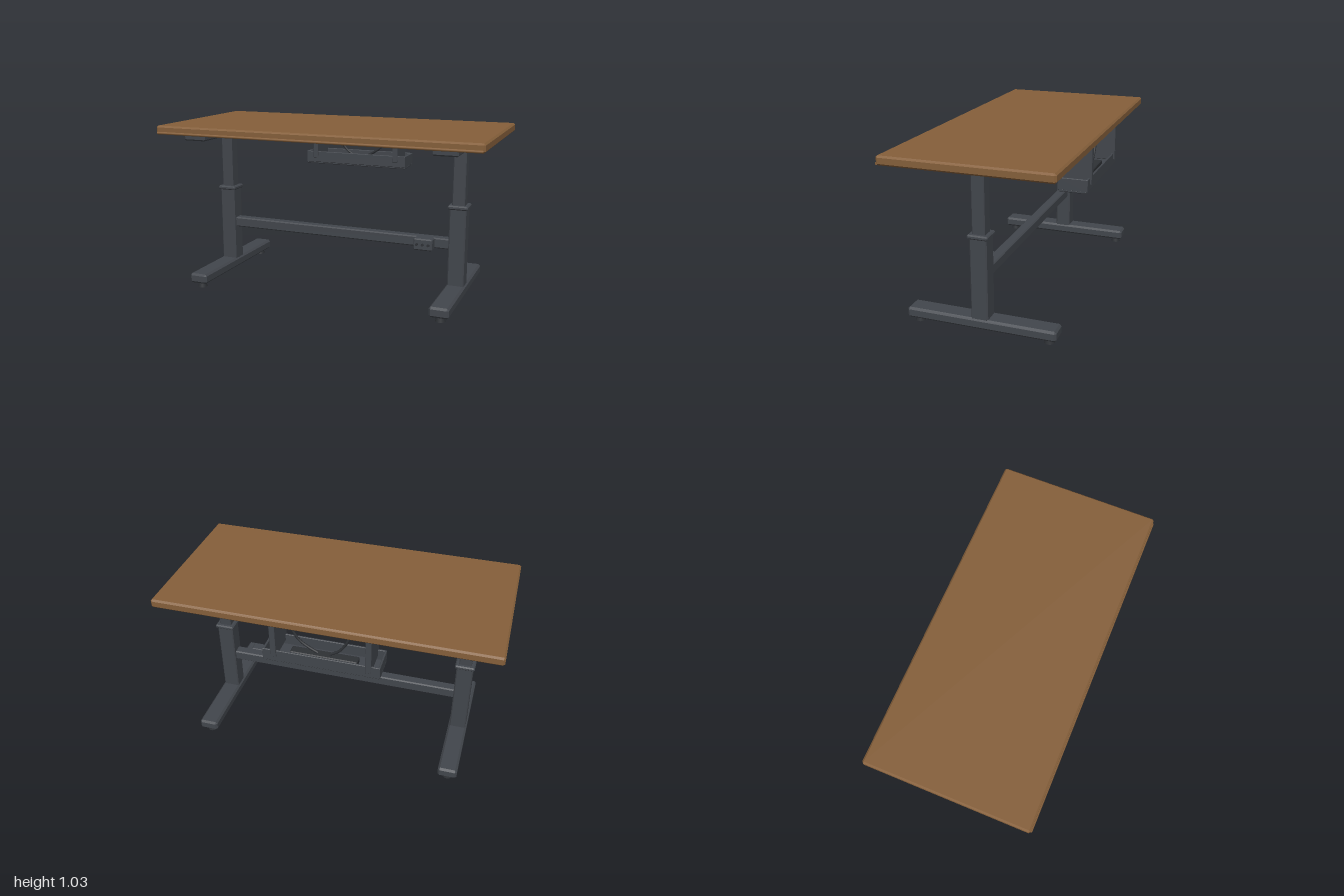
import * as THREE from 'three';
import { ConvexGeometry } from 'three/addons/geometries/ConvexGeometry.js';

const wood = new THREE.MeshStandardMaterial({ color: 0x855f3a });
const steel = new THREE.MeshStandardMaterial({ color: 0x42464c });
const dark = new THREE.MeshStandardMaterial({ color: 0x2e3135 });

// Box with flat chamfers, given by its limits on each axis
function chamferBox([x0, x1], [y0, y1], [z0, z1], c) {
  const half = [(x1 - x0) / 2, (y1 - y0) / 2, (z1 - z0) / 2];
  const points = [];
  for (const sx of [-1, 1]) for (const sy of [-1, 1]) for (const sz of [-1, 1]) {
    for (let axis = 0; axis < 3; axis++) {
      const p = half.map((h, i) => (i === axis ? h : h - c));
      points.push(new THREE.Vector3(sx * p[0], sy * p[1], sz * p[2]));
    }
  }
  return new ConvexGeometry(points).translate((x0 + x1) / 2, (y0 + y1) / 2, (z0 + z1) / 2);
}

function add(parent, name, geometry, material = steel) {
  const mesh = new THREE.Mesh(geometry, material);
  mesh.name = name;
  parent.add(mesh);
  return mesh;
}

function createLeg(name, x) {
  const leg = new THREE.Group();
  leg.name = name;
  const span = (h) => [-h, h];
  add(leg, 'topRail', chamferBox(span(0.072), [0.935, 0.975], [-0.418, 0.412], 0.008));
  add(leg, 'innerColumn', chamferBox(span(0.038), [0.55, 0.945], span(0.038), 0.005));
  add(leg, 'columnCollar', chamferBox(span(0.06), [0.563, 0.588], span(0.06), 0.007));
  add(leg, 'outerColumn', chamferBox(span(0.05), [0.085, 0.57], span(0.05), 0.007));
  add(leg, 'footBeam', chamferBox(span(0.058), [0.033, 0.095], [-0.443, 0.443], 0.012));
  for (const z of [-0.39, 0.39]) {
    const pad = add(leg, 'footPad', new THREE.CylinderGeometry(0.021, 0.029, 0.036, 16), dark);
    pad.position.set(0, 0.018, z);
  }
  leg.position.x = x;
  return leg;
}

function createCableTray() {
  const tray = new THREE.Group();
  tray.name = 'cableTray';
  const width = [-0.345, 0.345];
  add(tray, 'trayFloor', chamferBox(width, [0.717, 0.733], [-0.46, -0.295], 0.004));
  for (const z of [-0.465, -0.302]) {
    add(tray, 'trayWall', chamferBox(width, [0.727, 0.8], [z, z + 0.012], 0.003));
  }
  for (const x of [-0.345, 0.333]) {
    add(tray, 'trayEnd', chamferBox([x, x + 0.012], [0.727, 0.8], [-0.463, -0.292], 0.003));
  }
  // Plates that hang the tray from the top
  for (const x of [-0.278, 0.278]) {
    add(tray, 'trayBracket', chamferBox([x - 0.017, x + 0.017], [0.757, 0.978], [-0.474, -0.282], 0.003));
  }
  add(tray, 'powerStrip', chamferBox([-0.2, 0.2], [0.731, 0.768], [-0.41, -0.35], 0.005), dark);
  // Cables dropping from the top into the tray
  const cables = [
    [[-0.17, 0.975], [-0.15, 0.915], [-0.12, 0.85], [-0.085, 0.805], [-0.03, 0.77]],
    [[0.22, 0.975], [0.19, 0.905], [0.15, 0.84], [0.1, 0.802], [0.04, 0.77]],
  ];
  for (const points of cables) {
    const curve = new THREE.CatmullRomCurve3(points.map(([x, y]) => new THREE.Vector3(x, y, -0.38)));
    add(tray, 'cable', new THREE.TubeGeometry(curve, 24, 0.008, 8), dark);
  }
  return tray;
}

function createControlBox() {
  const box = new THREE.Group();
  box.name = 'controlBox';
  add(box, 'controlHousing', chamferBox([0.522, 0.638], [0.305, 0.377], [0.025, 0.093], 0.007));
  for (const x of [0.545, 0.58, 0.615]) {
    const button = add(box, 'controlButton', new THREE.CylinderGeometry(0.008, 0.008, 0.014, 12), dark);
    button.rotation.x = Math.PI / 2;
    button.position.set(x, 0.342, 0.096);
  }
  return box;
}

export function createModel() {
  const desk = new THREE.Group();
  desk.name = 'standingDesk';

  add(desk, 'tabletop', chamferBox([-1, 1], [0.973, 1.026], [-0.487, 0.48], 0.01), wood);
  // Bead along the lower front edge
  const bead = add(desk, 'frontBead', new THREE.CylinderGeometry(0.008, 0.008, 1.98, 10), wood);
  bead.rotation.z = Math.PI / 2;
  bead.position.set(0, 0.982, 0.479);

  desk.add(createLeg('leftLeg', 0.775), createLeg('rightLeg', -0.775));
  add(desk, 'crossbar', chamferBox([-0.735, 0.735], [0.311, 0.375], [-0.032, 0.032], 0.007));
  desk.add(createControlBox(), createCableTray());
  return desk;
}
